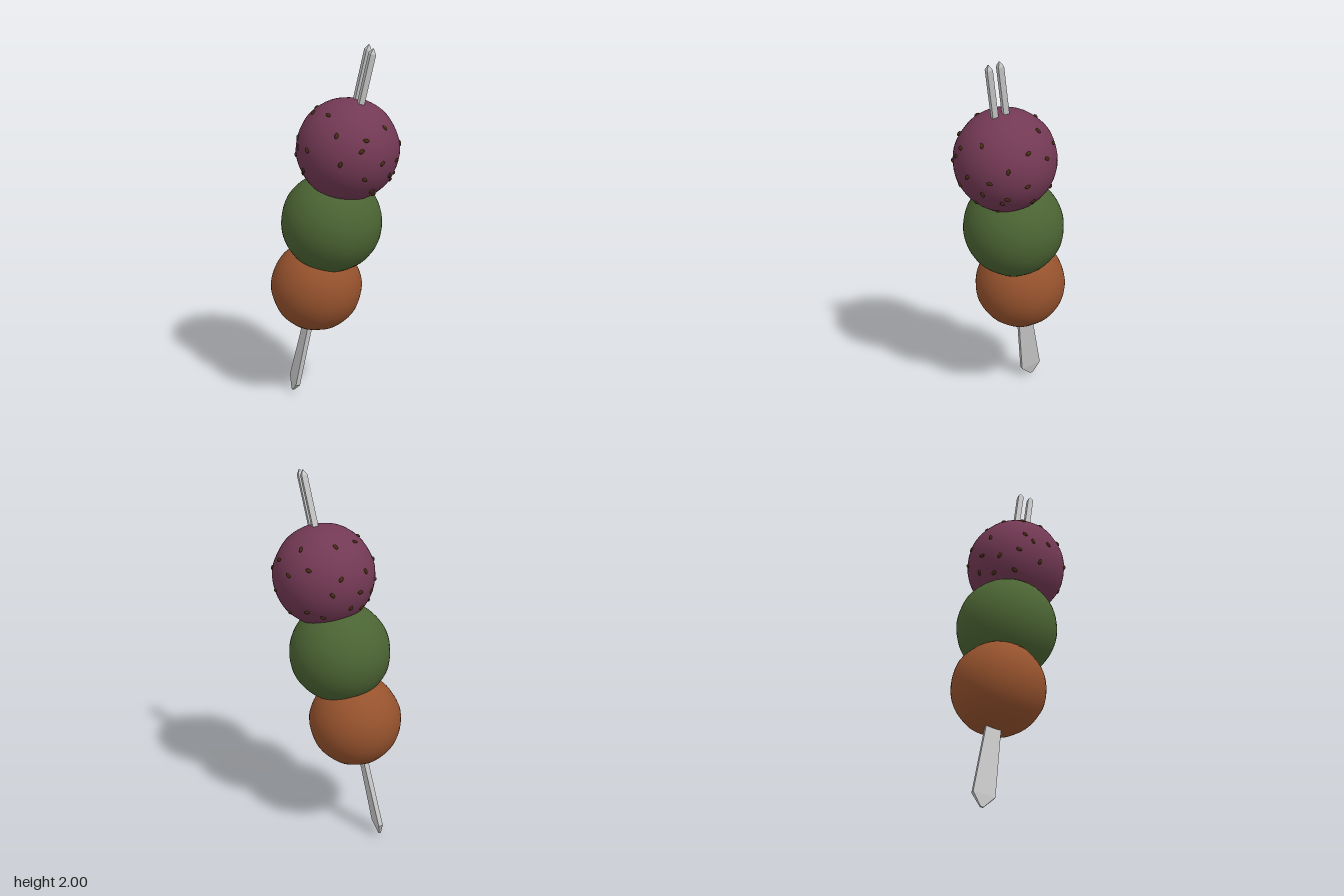
import * as THREE from 'three';

const material = (color, flatShading = false) =>
  new THREE.MeshStandardMaterial({ color, flatShading });

// Four-sided bar along y, through rings of [height, width, thickness]
function bar(rings) {
  const n = rings.length - 1;
  const geo = new THREE.CylinderGeometry(Math.SQRT1_2, Math.SQRT1_2, 1, 4, n);
  geo.rotateY(Math.PI / 4);
  const p = geo.attributes.position;
  for (let i = 0; i < p.count; i++) {
    const [y, w, t] = rings[Math.round((p.getY(i) + 0.5) * n)];
    p.setXYZ(i, p.getX(i) * w, y, p.getZ(i) * t);
  }
  geo.computeVertexNormals();
  return geo;
}

// Smooth ball with a slightly uneven, hand-rolled surface
function ball(radius, phase) {
  const geo = new THREE.SphereGeometry(radius, 48, 32);
  const p = geo.attributes.position;
  const n = geo.attributes.normal;
  const v = new THREE.Vector3();
  for (let i = 0; i < p.count; i++) {
    v.fromBufferAttribute(n, i);
    const bump = Math.sin(7 * v.x + phase) * Math.sin(6 * v.y + 2 * phase) * Math.sin(7 * v.z - phase);
    v.multiplyScalar(radius + 0.003 * bump);
    p.setXYZ(i, v.x, v.y, v.z);
  }
  return geo;
}

export function createModel() {
  const model = new THREE.Group();
  const add = (parent, geo, mat, name) => {
    const mesh = new THREE.Mesh(geo, mat);
    mesh.name = name;
    parent.add(mesh);
    return mesh;
  };

  // Skewer: leaning frame, x across its width, y along its length
  const foot = new THREE.Vector3(-0.05, 0.003, -0.265);
  const axis = new THREE.Vector3(0.028, 1.997, 0.212).sub(foot);
  const length = axis.length();
  axis.normalize();
  const across = new THREE.Vector3(0.5, 0, -0.86);
  across.addScaledVector(axis, -across.dot(axis)).normalize();
  const through = new THREE.Vector3().crossVectors(across, axis);
  const skewer = new THREE.Group();
  skewer.name = 'skewer';
  skewer.quaternion.setFromRotationMatrix(new THREE.Matrix4().makeBasis(across, axis, through));
  skewer.position.copy(foot);
  model.add(skewer);
  const metal = material(0xcccccc, true);

  add(skewer, bar([[0, 0.016, 0.01], [0.064, 0.115, 0.024], [0.44, 0.08, 0.026], [0.75, 0.07, 0.028]]),
    metal, 'handle');
  for (const side of [-1, 1]) {
    const prong = add(skewer, bar([[0.7, 0.028, 0.028], [length - 0.03, 0.03, 0.03], [length - 0.004, 0.004, 0.004]]),
      metal, side < 0 ? 'frontProng' : 'backProng');
    prong.position.x = side * 0.03;
  }

  // Three dumplings threaded on the skewer
  const balls = [
    ['lowerBall', 0.245, 0x96522d, -0.025, 0.667, -0.107],
    ['middleBall', 0.267, 0x4b6433, -0.008, 1.045, -0.014],
    ['upperBall', 0.266, 0x733954, 0.005, 1.455, 0.083],
  ];
  balls.forEach(([name, r, color, x, y, z], i) =>
    add(model, ball(r, i * 1.7 + 0.4), material(color), name).position.set(x, y, z));

  // Seeds on the upper ball, as unit offsets seen along one axis
  const rest = (a, b) => Math.sqrt(Math.max(0, 1 - a * a - b * b));
  const spots = {
    above: [[-0.72, -0.64], [-0.51, -0.43], [-0.17, -0.63], [-0.09, -0.96], [0.49, -0.84], [0.32, -0.56],
      [0.85, -0.35], [0.71, -0.04], [-0.62, 0.03], [-0.8, 0.37], [-0.58, 0.79], [-0.46, 0.8], [0.05, 0.84],
      [0.6, 0.79], [0.8, 0.43], [0.97, 0.05], [-0.97, -0.2], [-0.84, -0.53]],
    front: [[-0.19, -0.08], [0.29, -0.12], [-0.49, -0.36], [0.11, -0.38], [-0.17, -0.67], [0.84, -0.2],
      [0.53, -0.46], [0.41, -0.57], [-0.86, -0.04]],
    side: [[0.21, -0.61], [-0.29, -0.46], [-0.76, -0.06], [-0.52, -0.57], [0.5, -0.85]],
    back: [[-0.65, -0.1], [-0.3, -0.2], [0.1, -0.1], [-0.5, -0.5], [-0.1, -0.5], [0.25, -0.4], [-0.88, -0.3]],
  };
  const toDirection = {
    above: (x, z) => [x, rest(x, z), z],
    front: (x, y) => [x, y, rest(x, y)],
    side: (z, y) => [rest(z, y), y, z],
    back: (x, y) => [x, y, -rest(x, y)],
  };
  const seeds = new THREE.Group();
  seeds.name = 'seeds';
  seeds.position.set(0.005, 1.455, 0.083);
  model.add(seeds);
  const seedGeo = new THREE.SphereGeometry(1, 8, 6).scale(0.01, 0.016, 0.008);
  const seedMat = material(0x452c12);
  const outward = new THREE.Vector3(0, 0, 1);
  let count = 0;
  for (const view in spots) {
    for (const [a, b] of spots[view]) {
      const dir = new THREE.Vector3(...toDirection[view](a, b)).normalize();
      const seed = add(seeds, seedGeo, seedMat, 'seed');
      seed.position.copy(dir).multiplyScalar(0.267);
      seed.quaternion.setFromUnitVectors(outward, dir);
      seed.rotateZ(count++ * 2.4);
    }
  }
  return model;
}
